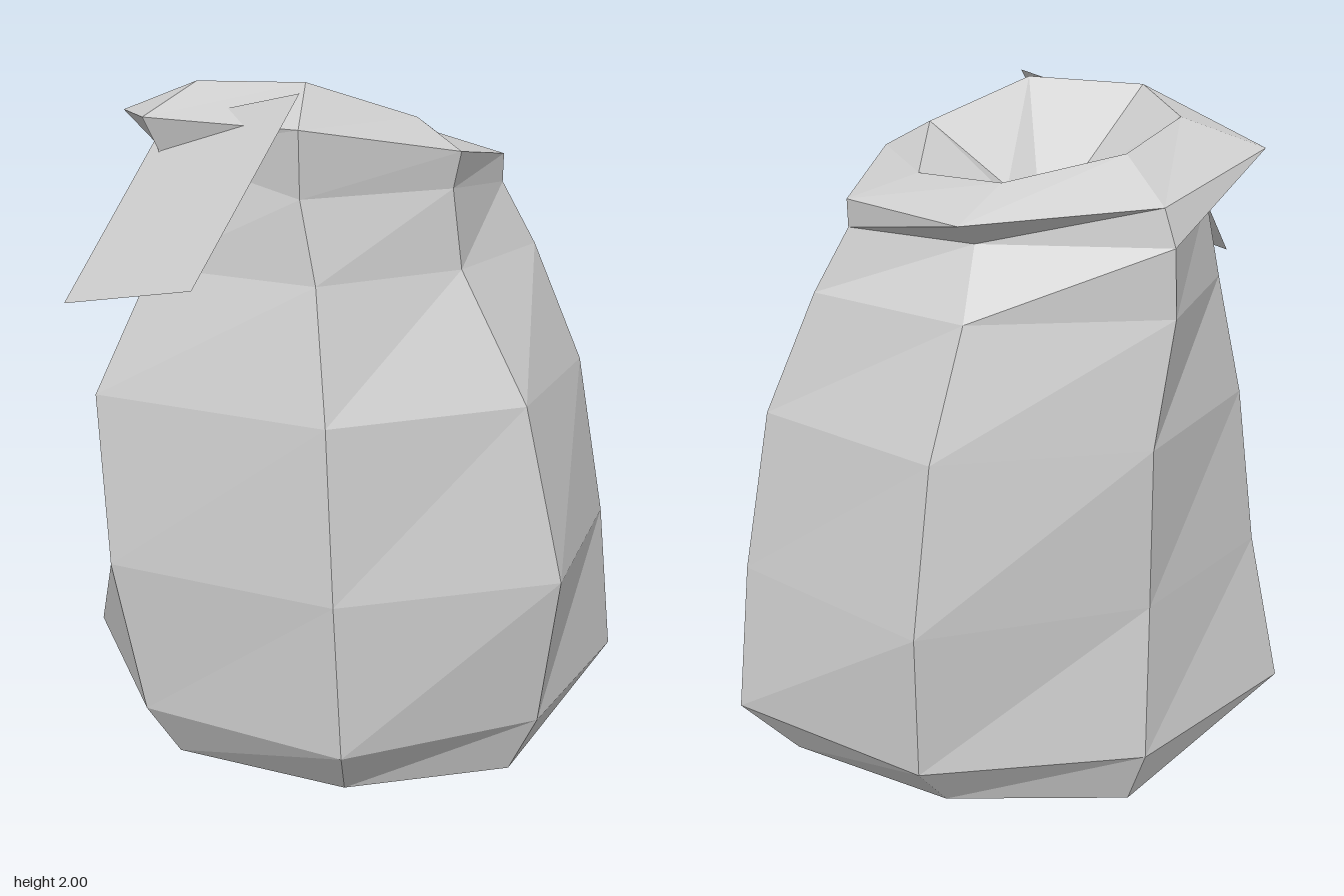
import * as THREE from 'three';

const cloth = new THREE.MeshStandardMaterial({ color: 0xcccccc, flatShading: true, side: THREE.DoubleSide });
cloth.name = 'pale grey cloth';

// Faceted mesh from a list of triangles, each three [x, y, z] corners
function facets(name, triangles) {
  const geometry = new THREE.BufferGeometry();
  geometry.setAttribute('position', new THREE.Float32BufferAttribute(triangles.flat(2), 3));
  geometry.computeVertexNormals();
  const mesh = new THREE.Mesh(geometry, cloth);
  mesh.name = name;
  return mesh;
}

// Triangles between neighbouring seven-sided rings, listed bottom to top
function loft(rings) {
  const triangles = [];
  for (let k = 0; k + 1 < rings.length; k++) {
    const low = rings[k], high = rings[k + 1];
    for (let i = 0; i < low.length; i++) {
      const j = (i + 1) % low.length;
      triangles.push([low[i], high[i], low[j]], [high[i], high[j], low[j]]);
    }
  }
  return triangles;
}

const level = (y, points) => points.map(([x, z]) => [x, y, z]);

export function createModel() {
  const group = new THREE.Group();
  group.name = 'sack';

  // Uneven rings of the body, from the floor to the tied neck
  const base = level(0, [[0.56, 0.24], [0.1, 0.44], [-0.43, 0.34], [-0.64, -0.09], [-0.34, -0.47], [0.2, -0.47], [0.67, -0.21]]);
  const neck = [[0.34, 1.72, 0.15], [-0.03, 1.72, 0.39], [-0.46, 1.81, 0.23], [-0.53, 1.73, -0.1],
    [-0.41, 1.69, -0.45], [0.1, 1.68, -0.37], [0.44, 1.68, -0.21]];
  const body = [
    base,
    level(0.19, [[0.64, 0.27], [0.12, 0.59], [-0.5, 0.43], [-0.83, -0.1], [-0.38, -0.53], [0.27, -0.61], [0.83, -0.26]]),
    level(0.66, [[0.69, 0.32], [0.1, 0.6], [-0.58, 0.45], [-0.73, -0.07], [-0.38, -0.48], [0.27, -0.65], [0.78, -0.24]]),
    level(1.15, [[0.57, 0.26], [0.07, 0.55], [-0.62, 0.39], [-0.66, -0.08], [-0.37, -0.5], [0.22, -0.59], [0.69, -0.23]]),
    level(1.5, [[0.37, 0.16], [0.02, 0.43], [-0.47, 0.3], [-0.58, -0.08], [-0.42, -0.45], [0.13, -0.49], [0.54, -0.22]]),
    neck,
  ];
  const floor = base.map((p, i) => [p, base[(i + 1) % 7], [0, 0, 0]]);
  group.add(facets('body', [...loft(body), ...floor]));

  // Flared lip, rolled over into a sunken mouth
  const rim = [[0.36, 1.82, 0.15], [-0.03, 1.9, 0.4], [-0.5, 1.9, 0.24], [-0.68, 1.87, -0.12],
    [-0.38, 1.79, -0.43], [0.14, 1.76, -0.49], [0.44, 1.76, -0.22]];
  const mouth = [[0.23, 1.9, 0.09], [-0.05, 2, 0.22], [-0.37, 1.99, 0.15], [-0.45, 1.95, -0.1],
    [-0.29, 1.9, -0.31], [0.03, 1.84, -0.37], [0.25, 1.82, -0.18]];
  group.add(facets('lip', loft([neck, rim, mouth])));

  const centre = [-0.08, 1.72, -0.07];
  const hollow = mouth.map(([x, , z]) => [
    centre[0] + (x - centre[0]) * 0.3, centre[1] + 0.02, centre[2] + (z - centre[2]) * 0.3]);
  const bottom = hollow.map((p, i) => [p, centre, hollow[(i + 1) % 7]]);
  group.add(facets('mouth', [...loft([mouth, hollow]), ...bottom]));

  // Flat tag hanging from the front of the lip
  const [a, b, c, d] = [[-0.03, 1.99, 0.38], [-0.46, 1.88, 0.16], [-0.68, 1.42, 0.43], [-0.25, 1.53, 0.65]];
  group.add(facets('tag', [[a, b, c], [a, c, d]]));

  return group;
}
